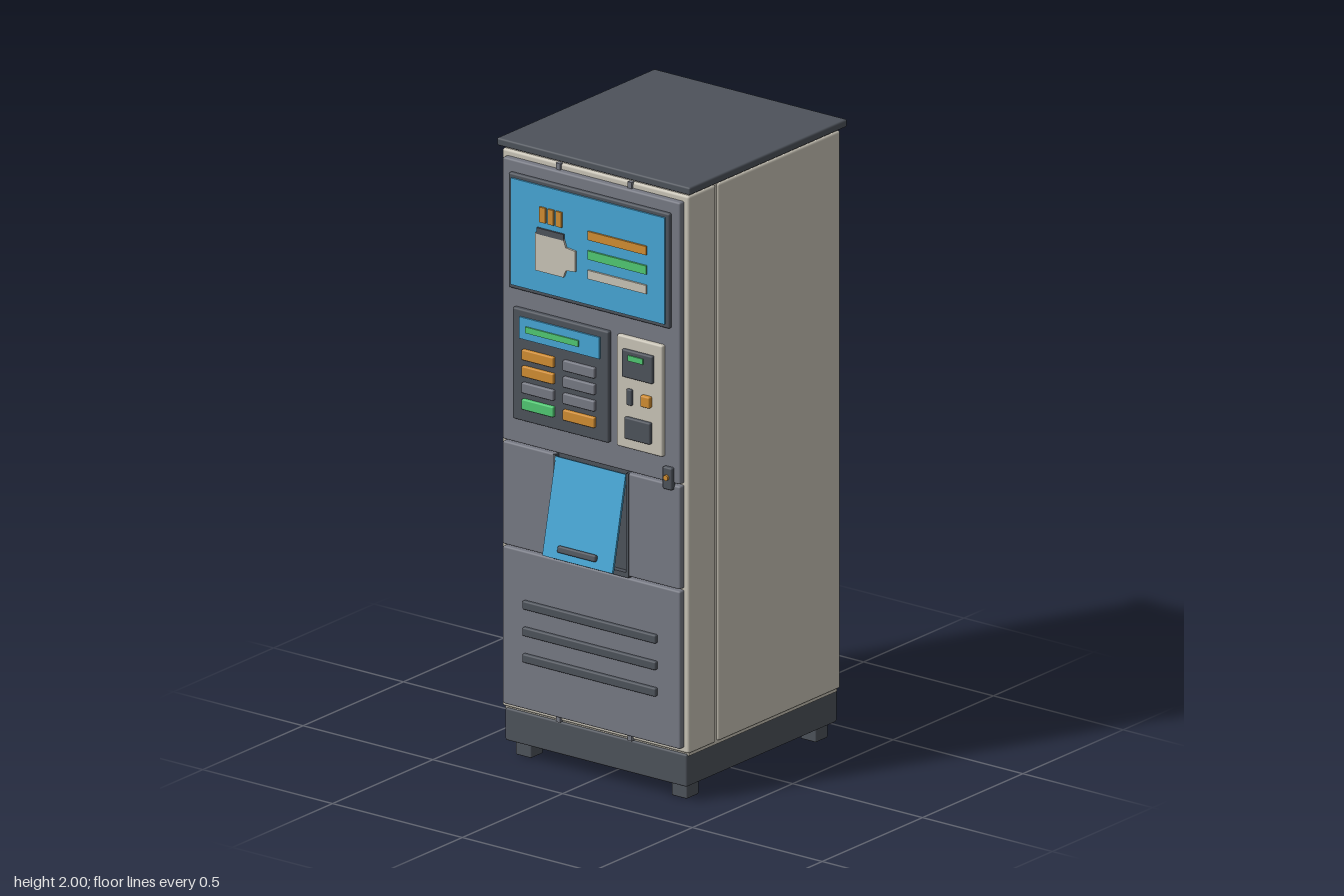
import * as THREE from 'three';
import { RoundedBoxGeometry } from 'three/addons/geometries/RoundedBoxGeometry.js';

const mat = (name, color) => {
  const m = new THREE.MeshStandardMaterial({ color });
  m.name = name;
  return m;
};

export function createModel() {
  const cream = mat('cream', 0xc8c3b6);
  const dark = mat('charcoal', 0x4d525a);
  const grey = mat('grey', 0x767983);
  const blue = mat('blue', 0x46a5d4);
  const orange = mat('orange', 0xd08d32);
  const green = mat('green', 0x50c872);

  const model = new THREE.Group();
  model.name = 'vendingMachine';

  // Box given by its extents; r softens the edges
  const box = (name, m, [x0, x1], [y0, y1], [z0, z1], r = 0, parent = model) => {
    const s = [x1 - x0, y1 - y0, z1 - z0];
    const geo = r ? new RoundedBoxGeometry(...s, 2, r) : new THREE.BoxGeometry(...s);
    const mesh = new THREE.Mesh(geo, m);
    mesh.name = name;
    mesh.position.set((x0 + x1) / 2, (y0 + y1) / 2, (z0 + z1) / 2);
    parent.add(mesh);
    return mesh;
  };

  // Cabinet: core, rear shell and front frame with a seam between them
  box('cabinetCore', cream, [-0.353, 0.353], [0.15, 1.976], [-0.41, 0.328]);
  box('rearShell', cream, [-0.36, 0.36], [0.16, 1.966], [-0.42, 0.19], 0.008);
  box('frontFrame', cream, [-0.36, 0.36], [0.16, 1.966], [0.2, 0.337], 0.008);
  box('topCap', dark, [-0.372, 0.372], [1.975, 2], [-0.438, 0.348], 0.006);
  box('plinth', dark, [-0.35, 0.35], [0.05, 0.155], [-0.415, 0.335], 0.006);
  for (const x of [-0.3, 0.3])
    for (const z of [-0.365, 0.278])
      box('foot', dark, [x - 0.03, x + 0.03], [0, 0.055], [z - 0.03, z + 0.03], 0.004);

  // Door panels
  box('upperDoor', grey, [-0.342, 0.342], [1.034, 1.947], [0.33, 0.358], 0.006);
  box('lowerDoor', grey, [-0.342, 0.342], [0.177, 0.688], [0.33, 0.358], 0.006);
  for (const s of [-1, 1]) {
    const xs = [0.14 * s, 0.342 * s].sort((a, b) => a - b);
    box('middlePanel', grey, xs, [0.694, 1.028], [0.33, 0.358], 0.006);
    for (const y of [0.167, 1.957])
      box('hingePin', grey, [0.138 * s - 0.008, 0.138 * s + 0.008], [y - 0.01, y + 0.01], [0.33, 0.345]);
  }
  for (const y of [0.345, 0.431, 0.517])
    box('ventSlot', dark, [-0.258, 0.256], [y - 0.014, y + 0.014], [0.35, 0.37], 0.005);

  // Delivery opening with its tilted flap
  box('recessBack', dark, [-0.142, 0.142], [0.69, 1.03], [0.33, 0.341]);
  for (const s of [-1, 1])
    box('recessSide', dark, [0.141 * s - 0.005, 0.141 * s + 0.005], [0.69, 1.028], [0.335, 0.36]);
  box('recessSill', dark, [-0.142, 0.142], [0.69, 0.706], [0.335, 0.36]);
  box('deliveryTray', grey, [-0.04, 0.035], [0.706, 0.716], [0.335, 0.36]);
  const flap = new THREE.Group();
  flap.name = 'deliveryFlap';
  flap.position.set(0, 1.023, 0.357);
  flap.rotation.x = -0.215;
  model.add(flap);
  box('flapSheet', blue, [-0.135, 0.135], [-0.31, 0], [-0.004, 0.004], 0, flap);
  box('flapHandle', dark, [-0.074, 0.074], [-0.287, -0.265], [0.003, 0.019], 0.006, flap);

  // Illuminated display
  box('displayFrame', dark, [-0.31, 0.31], [1.535, 1.908], [0.35, 0.37], 0.006);
  box('displayScreen', blue, [-0.296, 0.296], [1.549, 1.894], [0.367, 0.376]);
  [-0.17, -0.138, -0.107].forEach((x) =>
    box('steamMark', orange, [x - 0.011, x + 0.011], [1.778, 1.827], [0.375, 0.383]));
  box('cupRim', dark, [-0.192, -0.088], [1.738, 1.758], [0.375, 0.383]);
  const cupShape = new THREE.Shape([
    [-0.197, 1.619], [-0.088, 1.619], [-0.079, 1.643], [-0.043, 1.647],
    [-0.043, 1.713], [-0.079, 1.717], [-0.088, 1.741], [-0.197, 1.741],
  ].map(([x, y]) => new THREE.Vector2(x, y)));
  const cup = new THREE.Mesh(new THREE.ExtrudeGeometry(cupShape, { depth: 0.008, bevelEnabled: false }), cream);
  cup.name = 'cupPicture';
  cup.position.z = 0.375;
  model.add(cup);
  [[orange, 1.775], [green, 1.712], [cream, 1.649]].forEach(([m, y]) =>
    box('menuLine', m, [0.005, 0.23], [y - 0.014, y + 0.014], [0.375, 0.383]));

  // Selection panel with small readout and two columns of buttons
  box('selectionPanel', dark, [-0.293, 0.077], [1.115, 1.476], [0.35, 0.373], 0.006);
  box('readout', blue, [-0.262, 0.047], [1.383, 1.453], [0.37, 0.379]);
  box('readoutLine', green, [-0.235, -0.03], [1.407, 1.427], [0.378, 0.384]);
  const columns = [[-0.188, [orange, orange, grey, green]], [-0.03, [grey, grey, grey, orange]]];
  for (const [x, colours] of columns)
    colours.forEach((m, i) => {
      const y = 1.334 - i * 0.0535;
      box('selectionButton', m, [x - 0.061, x + 0.061], [y - 0.017, y + 0.017], [0.37, 0.385], 0.004);
    });

  // Payment panel
  box('paymentPanel', cream, [0.109, 0.285], [1.115, 1.476], [0.35, 0.373], 0.006);
  box('noteReader', dark, [0.137, 0.255], [1.348, 1.438], [0.37, 0.385], 0.005);
  box('noteLight', green, [0.165, 0.222], [1.406, 1.424], [0.383, 0.389]);
  box('coinSlot', dark, [0.153, 0.173], [1.259, 1.311], [0.37, 0.383], 0.004);
  box('returnButton', orange, [0.21, 0.246], [1.267, 1.304], [0.37, 0.388], 0.005);
  box('coinReturn', dark, [0.147, 0.247], [1.15, 1.22], [0.37, 0.386], 0.005);

  // Door lock
  box('lockPlate', dark, [0.284, 0.32], [1.014, 1.086], [0.35, 0.372], 0.005);
  const lock = new THREE.Mesh(new THREE.CylinderGeometry(0.009, 0.009, 0.01, 16), orange);
  lock.name = 'lockBarrel';
  lock.rotation.x = Math.PI / 2;
  lock.position.set(0.302, 1.054, 0.374);
  model.add(lock);

  return model;
}
